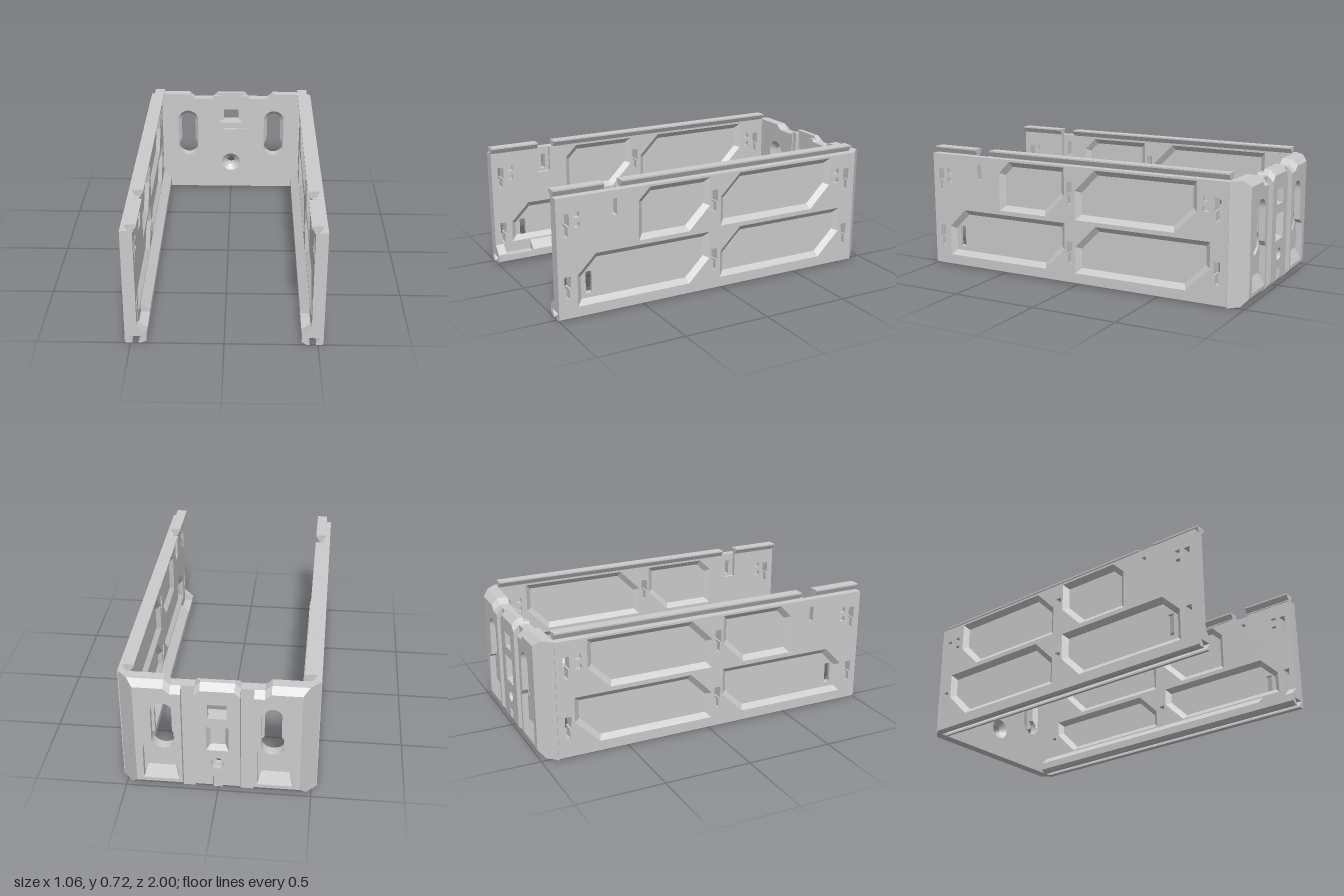
import * as THREE from 'three';

const mat = new THREE.MeshStandardMaterial({ color: 0xcccccc, flatShading: true, side: THREE.DoubleSide });
const V = (p) => p.map(([x, y]) => new THREE.Vector2(x, y));
const rect = (x0, x1, y0, y1) => [[x0, y0], [x1, y0], [x1, y1], [x0, y1]];

function add(parent, name, geo) {
  const m = new THREE.Mesh(geo, mat);
  m.name = name;
  parent.add(m);
  return m;
}
// Outline with holes, extruded between z0 and z1
function slab(pts, holes, z0, z1) {
  const s = new THREE.Shape(V(pts));
  holes.forEach((h) => s.holes.push(new THREE.Path(V(h))));
  const g = new THREE.ExtrudeGeometry(s, { depth: z1 - z0, bevelEnabled: false });
  return g.translate(0, 0, z0);
}
// Sloped band joining two matching outlines at two depths
function band(a, za, b, zb) {
  const pos = [];
  a.forEach((p, i) => {
    const j = (i + 1) % a.length;
    const A = [...p, za], B = [...a[j], za], C = [...b[j], zb], D = [...b[i], zb];
    pos.push(...A, ...B, ...C, ...A, ...C, ...D);
  });
  const g = new THREE.BufferGeometry();
  g.setAttribute('position', new THREE.Float32BufferAttribute(pos, 3));
  g.computeVertexNormals();
  return g;
}
function circle(cx, cy, r, n = 32) {
  return Array.from({ length: n }, (_, i) => {
    const t = (i / n) * Math.PI * 2;
    return [cx + r * Math.cos(t), cy + r * Math.sin(t)];
  });
}
// Keyhole: round foot of radius R, narrower slot of half width r above
function keyhole(cx, r, R, yFoot, yTop) {
  const pts = [], a = Math.acos(Math.min(1, r / R));
  for (let i = 0; i <= 16; i++) {
    const t = (i / 16) * Math.PI;
    pts.push([cx + r * Math.cos(t), yTop + r * Math.sin(t)]);
  }
  for (let i = 0; i <= 24; i++) {
    const t = Math.PI - a + (i / 24) * (Math.PI + 2 * a);
    pts.push([cx + R * Math.cos(t), yFoot + R * Math.sin(t)]);
  }
  return pts;
}

// ---- Side wall, drawn in u = -z, y and turned so depth runs along x ----
const panelSpecs = [ // front z, rear z, bottom, top, front cut, rear cut
  [0.525, 0.085, 0.375, 0.668, 0.07, 0.13], [0.015, -0.73, 0.375, 0.668, 0.125, 0.13],
  [0.89, 0.085, 0.065, 0.35, 0.11, 0.13], [0.015, -0.81, 0.065, 0.35, 0.13, 0.14],
];
function panel([zf, zr, y0, y1, cf, cr], d) {
  const u0 = -zf + d, u1 = -zr - d, b = y0 + d, t = y1 - d;
  const f = cf - 0.586 * d, r = cr - 0.586 * d;
  return [[u0, b], [u1 - r, b], [u1, b + r], [u1, t], [u0 + f, t], [u0, t - f]];
}
function mountSlot(z, y) {
  const a = 0.018, b = 0.009, u = -z;
  return [[u - b, y], [u + b, y], [u + b, y + 0.055], [u + a, y + 0.055],
    [u + a, y + 0.125], [u - a, y + 0.125], [u - a, y + 0.055], [u - b, y + 0.055]];
}
function buildWall() {
  const wall = new THREE.Group();
  wall.name = 'sideWall';
  const turn = (g) => g.rotateY(Math.PI / 2);
  const slots = [0.945, 0.053, -0.85].flatMap((z) => [mountSlot(z, 0.465), mountSlot(z, 0.12)]);
  const blind = [0.885, -0.78].flatMap((z) => [
    rect(-z - 0.016, -z + 0.016, 0.565, 0.595), rect(-z - 0.016, -z + 0.016, 0.51, 0.54)]);
  const latchSlot = rect(-0.677, -0.652, 0.545, 0.635);
  const lowSlot = rect(-0.833, -0.797, 0.12, 0.245);
  const innerSpecs = panelSpecs.map((s) => s.with(2, Math.max(s[2], 0.118)));
  const outerPanels = panelSpecs.map((s) => panel(s, 0));
  const innerPanels = innerSpecs.map((s) => panel(s, 0));

  add(wall, 'wallCore', turn(slab(rect(-1, 0.91, 0.06, 0.68), [...slots, latchSlot, lowSlot], 0.487, 0.505)));
  add(wall, 'outerSkin', turn(slab(rect(-1, 0.91, 0.06, 0.68),
    [...slots, ...blind, latchSlot, ...outerPanels], 0.505, 0.53)));
  const inner = [[-1, 0.1], [0.91, 0.1], [0.91, 0.68], [-0.63, 0.68], [-0.63, 0.53], [-0.71, 0.53], [-0.71, 0.68], [-1, 0.68]];
  add(wall, 'innerSkin', turn(slab(inner, [...slots, ...blind, ...innerPanels], 0.464, 0.487)));
  // Sloped sides of the panel recesses
  panelSpecs.forEach((s, i) => {
    add(wall, 'outerPanelSlope', turn(band(outerPanels[i], 0.53, panel(s, 0.03), 0.505)));
    add(wall, 'innerPanelSlope', turn(band(innerPanels[i], 0.464, panel(innerSpecs[i], 0.03), 0.487)));
  });

  // Bottom beam with dovetail groove, lowered at the front catch
  const foot = (flange) => [[0.53, 0.008], [0.53, 0.062], [0.505, 0.062], [0.505, 0.11], [0.464, 0.11], ...flange,
    [0.413, 0.018], [0.44, 0], [0.456, 0], [0.456, 0.01], [0.436, 0.043], [0.51, 0.043], [0.49, 0.01], [0.49, 0], [0.522, 0]];
  const high = foot([[0.413, 0.062]]), low = foot([[0.464, 0.055], [0.413, 0.055]]);
  add(wall, 'bottomBeam', slab(high, [], -0.91, 0.78));
  add(wall, 'bottomCatch', slab(low, [], 0.78, 0.95));
  add(wall, 'bottomBeamEnd', slab(high, [], 0.95, 1));

  // Dovetail rail on top, with a gap
  const rail = [[0.459, 0.675], [0.487, 0.675], [0.487, 0.682], [0.502, 0.71], [0.502, 0.718], [0.441, 0.718], [0.441, 0.71], [0.459, 0.682]];
  add(wall, 'topRailFront', slab(rail, [], 0.71, 1));
  add(wall, 'topRail', slab(rail, [], -0.9, 0.61));
  return wall;
}

// ---- Back plate ----
function taper(g) { // chamfers the rear corners, top and bottom
  const p = g.attributes.position;
  for (let i = 0; i < p.count; i++) {
    const x = p.getX(i), y = p.getY(i), z = p.getZ(i);
    if (Math.abs(x) > 0.45) p.setX(i, Math.sign(x) * (0.53 - (-0.905 - z) * 0.95));
    if (z < -0.99 && y > 0.6) p.setY(i, y - 0.035);
    if (z < -0.99 && y < 0.01) p.setY(i, 0.04);
  }
  g.computeVertexNormals();
  return g;
}
function buildBack() {
  const back = new THREE.Group();
  back.name = 'backPlate';
  const rightTop = [[0.53, 0], [0.53, 0.68], [0.28, 0.68], [0.245, 0.65], [0.12, 0.65], [0.09, 0.68]];
  const mirror = (pts) => pts.map(([x, y]) => [-x, y]).reverse();
  const full = [...rightTop, ...mirror(rightTop)];
  const notched = [...rightTop.slice(0, 5), [0.108, 0.662], [0.108, 0.435], [0.04, 0.435], [0.04, 0.425]];
  const sides = [-0.29, 0.29];
  const wide = sides.map((x) => keyhole(x, 0.067, 0.0671, 0.307, 0.495));
  const narrow = sides.map((x) => keyhole(x, 0.045, 0.067, 0.307, 0.49));
  const sink = circle(0, 0.185, 0.062), bore = circle(0, 0.185, 0.028);

  add(back, 'frontLayer', taper(slab([...notched, ...mirror(notched)], [...wide, sink], -0.935, -0.905)));
  add(back, 'middleLayer', taper(slab(full, [...narrow, bore, rect(-0.068, 0.068, 0.475, 0.562)], -0.965, -0.935)));
  wide.forEach((w, i) => add(back, 'keyholeCountersink', band(w, -0.905, narrow[i], -0.935)));
  add(back, 'screwCountersink', band(sink, -0.905, bore, -0.935));

  // U-shaped frame round the window
  const frame = [[-0.108, 0.435], [0.108, 0.435], [0.108, 0.665], [0.075, 0.665], [0.075, 0.475], [-0.075, 0.475], [-0.075, 0.665], [-0.108, 0.665]];
  add(back, 'windowFrame', slab(frame, [], -0.935, -0.912));

  // Rear centre column
  const column = [[0.025, 0], [0.12, 0], [0.12, 0.65], [0.09, 0.68], [-0.09, 0.68], [-0.12, 0.65], [-0.12, 0], [-0.025, 0], [-0.025, 0.1], [0.025, 0.1]];
  const pocket = rect(-0.06, 0.06, 0.27, 0.42);
  add(back, 'centreColumn', taper(slab(column, [rect(-0.05, 0.05, 0.475, 0.562), pocket, circle(0, 0.185, 0.035)], -1, -0.965)));
  add(back, 'pocketSlope', band(pocket, -1, rect(-0.04, 0.04, 0.29, 0.4), -0.966));

  // Rear side pads with a recess behind each keyhole
  const pad = [[0.19, 0], [0.5, 0], [0.5, 0.68], [0.28, 0.68], [0.245, 0.65], [0.19, 0.65]];
  const arch = keyhole(0.29, 0.06, 0.0601, 0.4, 0.495).slice(0, 17);
  const recess = [...arch, [0.23, 0.31], [0.21, 0.28], [0.21, 0.06], [0.4, 0.06], [0.4, 0.28], [0.35, 0.31]];
  const ramp = [[0.21, 0.06], [0.4, 0.06], [0.38, 0.13], [0.23, 0.13]];
  const rampBase = [[0.21, 0.06], [0.4, 0.06]];
  [1, -1].forEach((s) => {
    const m = (p) => (s > 0 ? p : mirror(p));
    add(back, 'rearPad', taper(slab(m(pad), [m(recess)], -1, -0.965)));
    add(back, 'recessRamp', band(m([...rampBase, [0.4, 0.062], [0.21, 0.062]]), -0.998, m(ramp), -0.966));
  });
  return back;
}

export function createModel() {
  const model = new THREE.Group();
  model.name = 'channelBracket';
  const left = buildWall();
  left.name = 'leftWall';
  const right = left.clone();
  right.name = 'rightWall';
  right.scale.x = -1;
  model.add(left, right, buildBack());
  return model;
}
